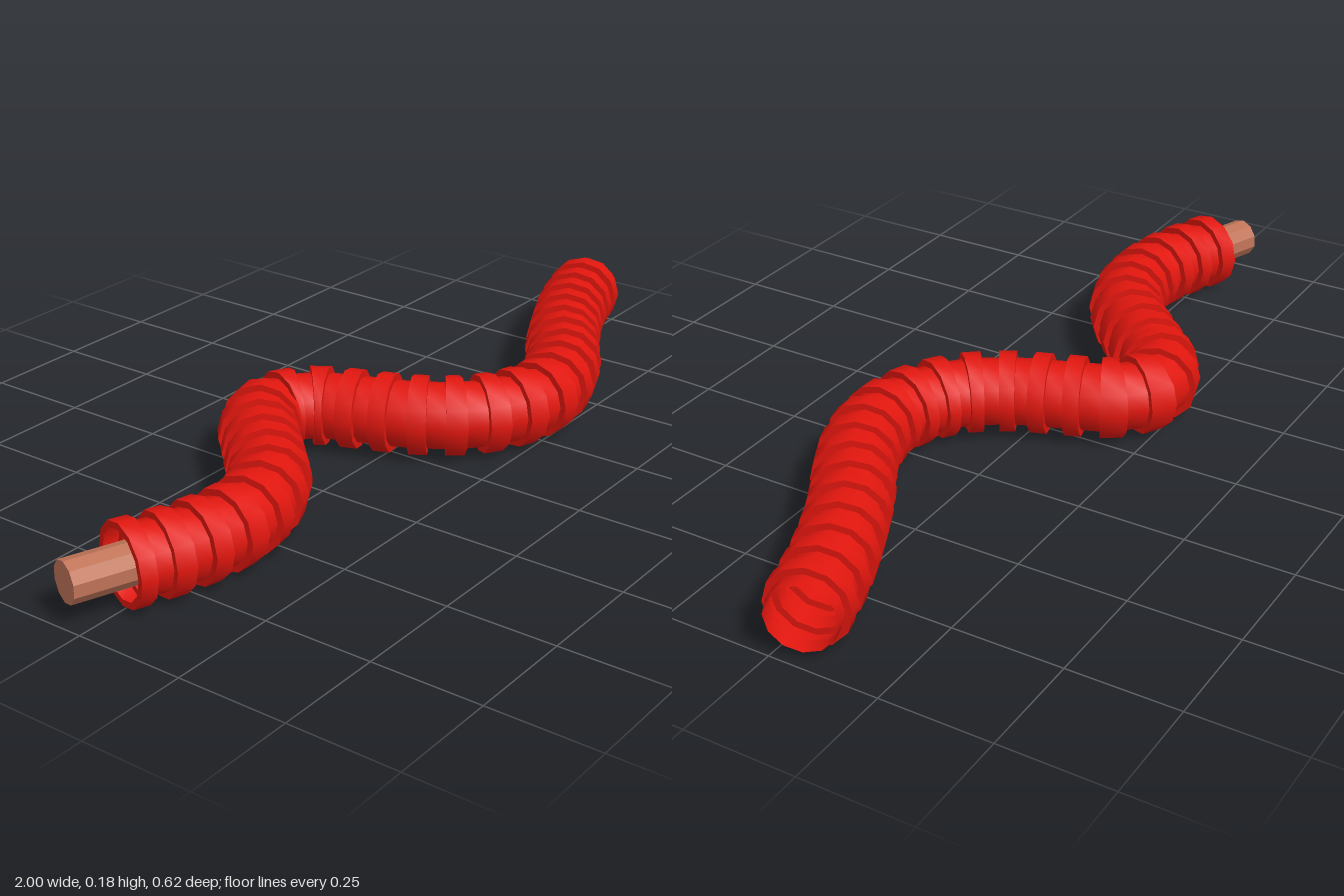
import * as THREE from 'three';
import { toCreasedNormals } from 'three/addons/utils/BufferGeometryUtils.js';

const AXIS_Y = 0.093, RIB_R = 0.091, VALLEY_R = 0.076, SIDES = 12, RIBS = 29;
const UP = new THREE.Vector3(0, 1, 0);

// Centre line of the hose, lying flat: [x, z]
const path = new THREE.CatmullRomCurve3([
  [-0.87, -0.01], [-0.74, 0.037], [-0.6, 0.056], [-0.45, 0.012], [-0.31, -0.115],
  [-0.225, -0.197], [-0.14, -0.222], [-0.06, -0.17], [-0.01, -0.06], [0.03, 0.04],
  [0.105, 0.145], [0.2, 0.203], [0.3, 0.22], [0.44, 0.182], [0.61, 0.083],
  [0.79, -0.002], [0.974, -0.062],
].map(([x, z]) => new THREE.Vector3(x, AXIS_Y, z)), false, 'centripetal');
path.arcLengthDivisions = 800;

// Stepped tube: each pitch is a raised rib followed by a groove
function corrugatedTube() {
  const stations = [];
  for (let i = 0; i < RIBS; i++) {
    const a = i / RIBS, b = (i + 0.5) / RIBS;
    stations.push([a, VALLEY_R], [a, RIB_R], [b, RIB_R], [b, VALLEY_R]);
  }
  stations.push([1, VALLEY_R]);

  const positions = [], index = [];
  stations.forEach(([t, r], i) => {
    const centre = path.getPointAt(t);
    const side = path.getTangentAt(t).cross(UP).normalize();
    for (let j = 0; j < SIDES; j++) {
      const angle = (j / SIDES) * Math.PI * 2;
      const p = centre.clone()
        .addScaledVector(side, r * Math.cos(angle))
        .addScaledVector(UP, r * Math.sin(angle));
      positions.push(p.x, p.y, p.z);
      if (i === stations.length - 1) continue;
      const k = (j + 1) % SIDES, a = i * SIDES, b = a + SIDES;
      index.push(a + j, b + j, a + k, b + j, b + k, a + k);
    }
  });
  const geometry = new THREE.BufferGeometry();
  geometry.setAttribute('position', new THREE.Float32BufferAttribute(positions, 3));
  geometry.setIndex(index);
  return toCreasedNormals(geometry, THREE.MathUtils.degToRad(40));
}

export function createModel() {
  const group = new THREE.Group();
  group.name = 'corrugatedHose';

  // Ribbed hose, open at the ends
  const hose = new THREE.Mesh(
    corrugatedTube(),
    new THREE.MeshStandardMaterial({ color: 0xe0160e, side: THREE.DoubleSide }),
  );
  hose.name = 'hose';
  group.add(hose);

  // Metal pipe stub emerging from the left-hand end
  const start = new THREE.Vector3(-0.982, AXIS_Y, -0.05);
  const end = new THREE.Vector3(-0.76, AXIS_Y, 0.033);
  const pipe = new THREE.Mesh(
    new THREE.CylinderGeometry(0.046, 0.046, start.distanceTo(end), 10),
    new THREE.MeshStandardMaterial({ color: 0xc07458, flatShading: true }),
  );
  pipe.name = 'pipeStub';
  pipe.position.copy(start).lerp(end, 0.5);
  pipe.quaternion.setFromUnitVectors(UP, end.clone().sub(start).normalize());
  group.add(pipe);

  return group;
}
